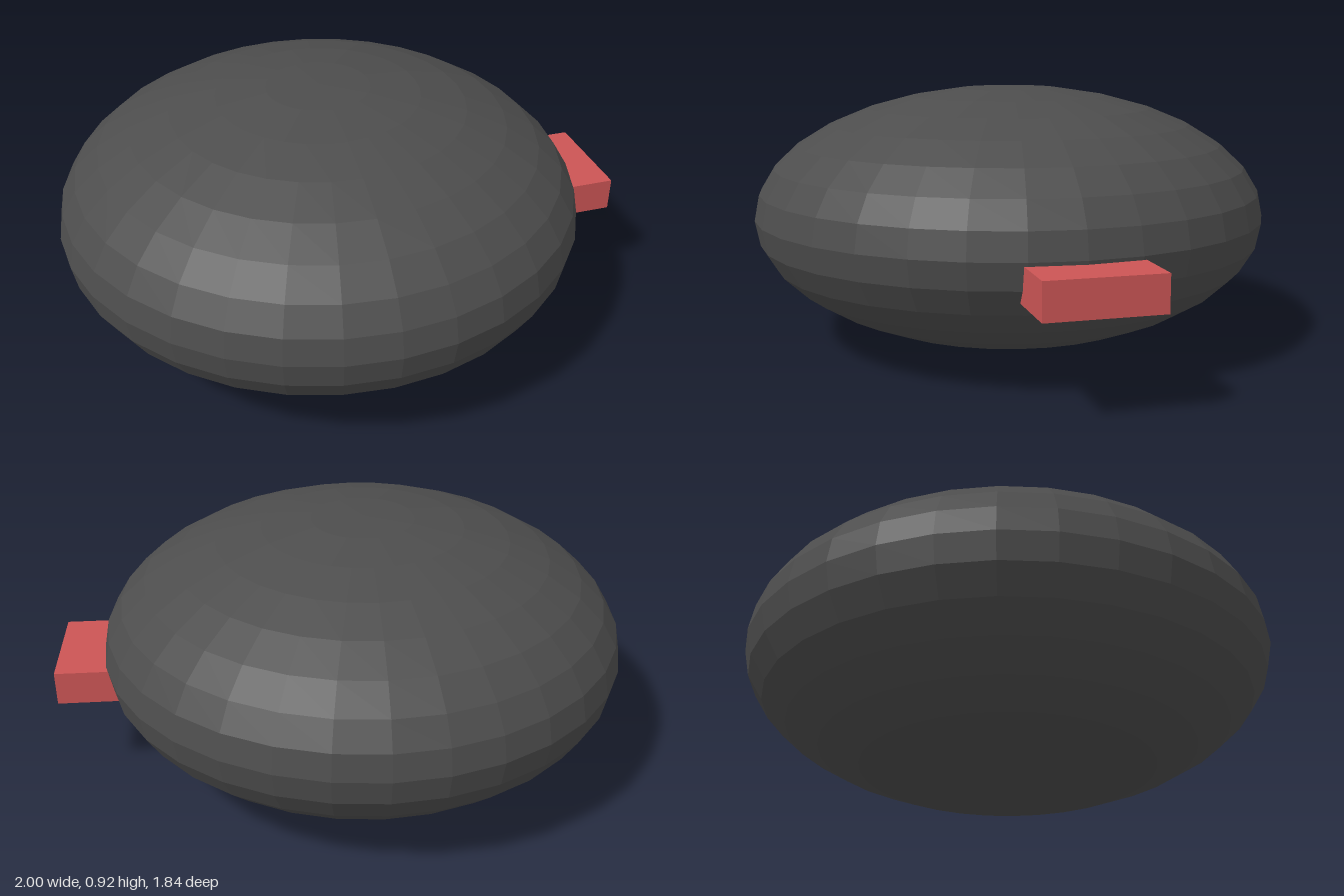
import * as THREE from 'three';

export function createModel() {
  const model = new THREE.Group();

  const addPart = (name, geometry, color, x, y, z) => {
    const material = new THREE.MeshStandardMaterial({ color, flatShading: true });
    const mesh = new THREE.Mesh(geometry, material);
    mesh.name = name;
    mesh.position.set(x, y, z);
    model.add(mesh);
  };

  // Faceted body: a sphere squashed to half its height
  const body = new THREE.SphereGeometry(0.92, 32, 16).scale(1, 0.5, 1);
  addPart('body', body, 0x4d4d4d, -0.08, 0.46, 0);

  // Block protruding from the left side, sunk into the body
  const block = new THREE.BoxGeometry(0.36, 0.12, 0.38);
  addPart('sideBlock', block, 0xcc5555, 0.82, 0.388, 0);

  return model;
}
